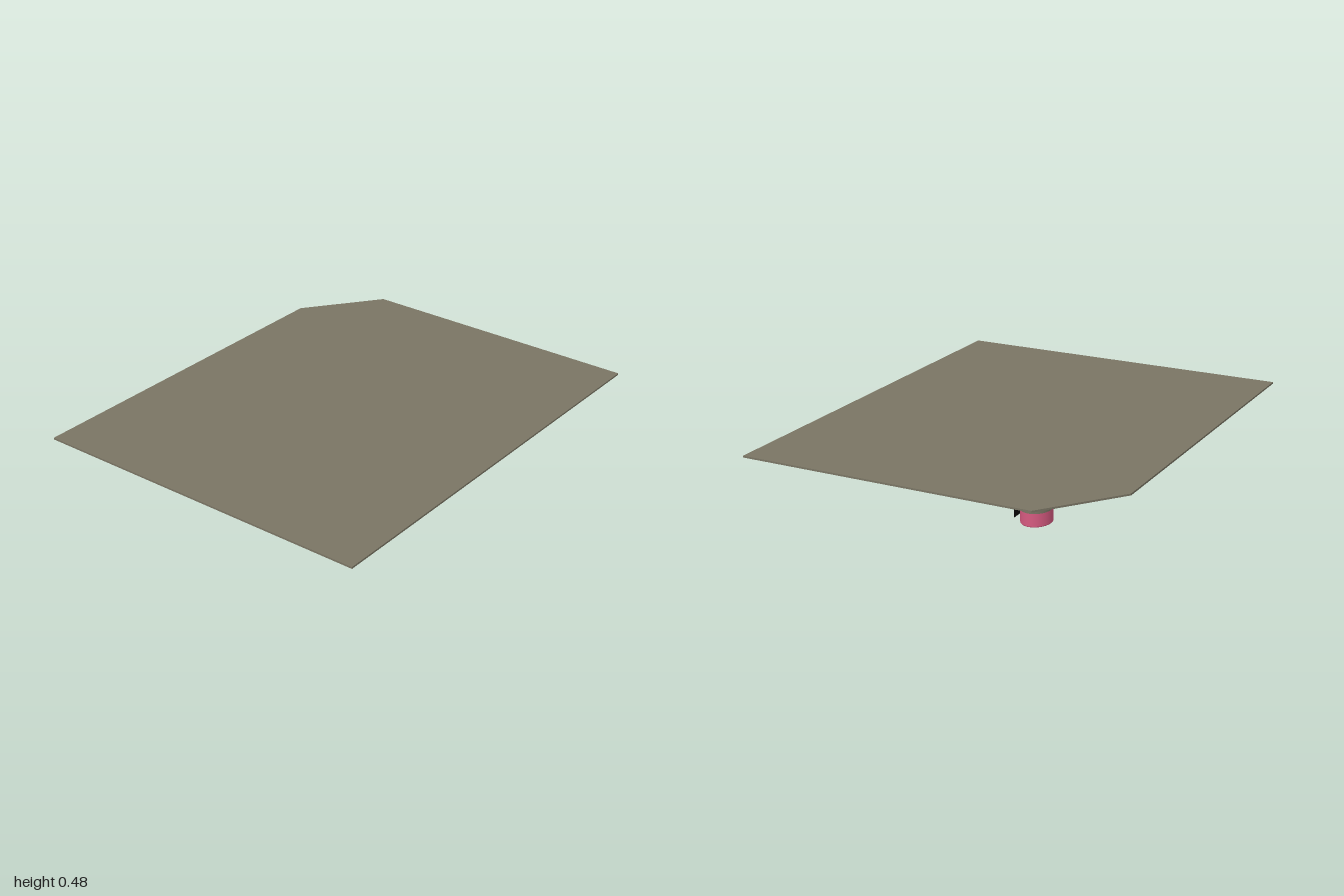
import * as THREE from 'three';

const mat = (name, color, side = THREE.FrontSide) => {
  const m = new THREE.MeshStandardMaterial({ color, side });
  m.name = name;
  return m;
};

export function createModel() {
  const olive = mat('olive grey', 0x7a7564);
  const pink = mat('pink', 0xd65a80);
  const black = mat('black', 0x0b0b0b, THREE.DoubleSide);

  const model = new THREE.Group();
  model.name = 'bottleUnderPanel';
  const add = (parent, name, geometry, material, x = 0, y = 0, z = 0) => {
    const mesh = new THREE.Mesh(geometry, material);
    mesh.name = name;
    mesh.position.set(x, y, z);
    parent.add(mesh);
    return mesh;
  };

  // Thin panel with one clipped back corner (shape y becomes -z)
  const outline = new THREE.Shape([
    [-0.8, -1], [0.8, -1], [0.8, 1], [-0.54, 1], [-0.8, 0.66],
  ].map(([x, y]) => new THREE.Vector2(x, y)));
  const panel = new THREE.ExtrudeGeometry(outline, { depth: 0.008, bevelEnabled: false });
  panel.rotateX(-Math.PI / 2);
  add(model, 'panel', panel, olive, 0, 0.468, 0);

  const bottle = new THREE.Group();
  bottle.name = 'bottle';
  bottle.position.set(-0.068, 0, -0.028);
  model.add(bottle);

  // Oval body: unit-radius profiles squashed in x and z
  const oval = (name, profile, material) => {
    const g = new THREE.LatheGeometry(profile.map(([r, y]) => new THREE.Vector2(r, y)), 48);
    g.scale(0.072, 1, 0.088);
    add(bottle, name, g, material);
  };
  oval('base', [[0, 0], [0.98, 0], [0.98, 0], [1, 0.004], [1, 0.004], [1, 0.065]], pink);
  oval('labelBand', [[1, 0.065], [1, 0.163]], olive);
  oval('shoulder', [[1, 0.163], [1, 0.198], [0.97, 0.206], [0.88, 0.212],
    [0.72, 0.217], [0.5, 0.219], [0, 0.219]], pink);

  // Pump: collar, head and flat spout pointing left
  add(bottle, 'collar', new THREE.CylinderGeometry(0.04, 0.04, 0.056, 32), olive, 0, 0.246, 0);
  add(bottle, 'pumpHead', new THREE.CylinderGeometry(0.018, 0.02, 0.034, 24), olive, 0, 0.289, 0);
  add(bottle, 'spout', new THREE.BoxGeometry(0.084, 0.006, 0.014), olive, 0.038, 0.302, 0);

  // Flat black card against the left side
  const card = new THREE.PlaneGeometry(0.163, 0.16);
  card.rotateY(Math.PI / 2);
  add(bottle, 'sideCard', card, black, 0.073, 0.11, 0);

  return model;
}
